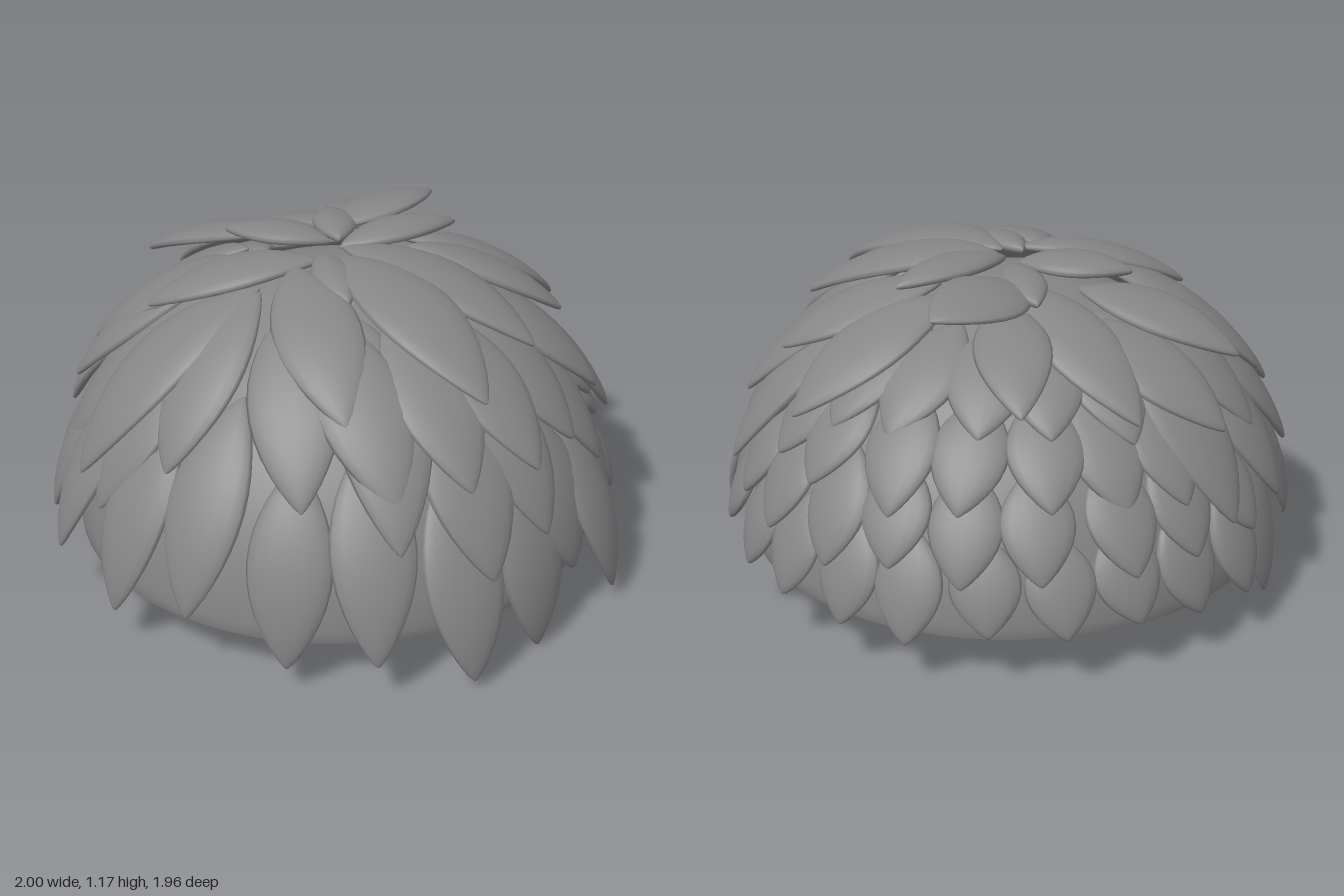
import * as THREE from 'three';

const CENTER = new THREE.Vector3(-0.035, 0.148, 0.012);
const DOME_R = 0.895;
const material = new THREE.MeshStandardMaterial({ color: 0x858585 });

let seed;
const jitter = (a) => {
  seed = (seed * 16807) % 2147483647;
  return (seed / 2147483647 - 0.5) * 2 * a;
};

// point on a sphere round the dome centre; azimuth in degrees from +z towards +x
function onSphere(az, y, r) {
  const h = Math.sqrt(Math.max(0, r * r - (y - CENTER.y) ** 2));
  const a = THREE.MathUtils.degToRad(az);
  return new THREE.Vector3(CENTER.x + h * Math.sin(a), y, CENTER.z + h * Math.cos(a));
}

// lens-shaped leaf that wraps over the dome from base to tip
function leafGeometry(base, tip, width, thick) {
  const U = 18, V = 16, pos = [], index = [];
  const b = base.clone().sub(CENTER), t = tip.clone().sub(CENTER);
  const r0 = b.length(), r1 = t.length();
  b.normalize();
  t.normalize();
  const angle = b.angleTo(t);
  const axis = new THREE.Vector3().crossVectors(b, t).normalize();
  for (let i = 0; i <= U; i++) {
    const u = (1 - Math.cos((Math.PI * i) / U)) / 2;
    const n = b.clone().applyAxisAngle(axis, angle * u);
    const r = r0 + (r1 - r0) * u;
    const profile = Math.pow(Math.max(0, Math.sin(Math.PI * u)), 0.8);
    for (let j = 0; j < V; j++) {
      const v = (j / V) * Math.PI * 2;
      const side = (width / 2 / r) * profile * Math.cos(v);
      const height = thick * Math.sqrt(profile) * Math.sin(v);
      const p = n.clone().multiplyScalar(Math.cos(side)).addScaledVector(axis, Math.sin(side));
      p.multiplyScalar(r + height).add(CENTER);
      pos.push(p.x, p.y, p.z);
      if (i < U) {
        const a = i * V + j, c = i * V + ((j + 1) % V);
        index.push(a, c, a + V, c, c + V, a + V);
      }
    }
  }
  const g = new THREE.BufferGeometry();
  g.setAttribute('position', new THREE.Float32BufferAttribute(pos, 3));
  g.setIndex(index);
  g.computeVertexNormals();
  return g;
}

function addLeaf(group, name, base, tip, width, thick = 0.03) {
  const mesh = new THREE.Mesh(leafGeometry(base, tip, width, thick), material);
  mesh.name = name;
  group.add(mesh);
}

// large leaves hanging straight down from above their tips (x, y, z)
function addHangingLeaves(model, name, tips, rise, baseR, width) {
  const group = new THREE.Group();
  group.name = name + 's';
  for (const [x, y, z] of tips) {
    const az = THREE.MathUtils.radToDeg(Math.atan2(x - CENTER.x, z - CENTER.z));
    const base = onSphere(az, Math.min(y + rise, 1.03), baseR);
    addLeaf(group, name, base, new THREE.Vector3(x, y, z), width);
  }
  model.add(group);
}

const lowTips = [
  [-0.97, 0.08, -0.2], [-0.99, 0.25, 0.08], [-0.96, 0.1, 0.34], [-0.86, 0.21, 0.54],
  [-0.71, 0.21, 0.76], [-0.41, 0.14, 0.93], [-0.12, 0.22, 0.98], [0.21, 0.09, 0.93],
  [0.5, 0.14, 0.87], [0.75, 0.03, 0.67], [0.85, 0.0, 0.36], [0.99, 0.05, 0.0],
  [0.88, 0.18, -0.25],
];

const midTips = [
  [-0.89, 0.43, -0.42], [-0.99, 0.4, -0.12], [-0.96, 0.45, 0.22], [-0.79, 0.47, 0.52],
  [-0.53, 0.42, 0.79], [0.53, 0.5, 0.77], [0.77, 0.36, 0.58], [0.86, 0.42, 0.34],
  [0.9, 0.2, 0.17], [0.88, 0.46, -0.12], [0.8, 0.48, -0.45],
];

const highTips = [
  [-0.89, 0.64, -0.12], [-0.87, 0.62, 0.33], [0.68, 0.65, 0.56], [0.82, 0.65, 0.34],
  [0.84, 0.62, 0.06], [0.81, 0.65, -0.27],
];

// crown leaves: base x, base z, tip x, tip y, tip z, width
const crown = [
  [-0.02, -0.02, 0.68, 0.91, 0.02, 0.28],
  [0.0, 0.05, 0.66, 0.88, 0.4, 0.31],
  [-0.12, 0.16, 0.3, 0.84, 0.66, 0.29],
  [-0.07, 0.06, 0.14, 1.07, 0.29, 0.14],
  [-0.05, 0.1, -0.57, 0.95, 0.34, 0.23],
  [-0.08, -0.05, -0.46, 1.1, -0.02, 0.2],
  [-0.06, -0.08, -0.22, 1.08, -0.35, 0.15],
  [-0.1, -0.2, -0.6, 0.8, -0.56, 0.27],
  [-0.1, -0.3, -0.28, 0.89, -0.8, 0.25],
  [-0.15, -0.2, 0.06, 1.1, -0.61, 0.28],
  [-0.03, -0.02, 0.24, 1.11, -0.38, 0.18],
  [0.08, -0.28, 0.5, 0.76, -0.68, 0.29],
  [0.14, -0.2, 0.64, 0.86, -0.37, 0.27],
  [-0.18, 0.28, -0.63, 0.5, 0.73, 0.31],
  [-0.17, 0.3, -0.27, 0.62, 0.8, 0.28],
  [-0.04, 0.32, 0.22, 0.61, 0.83, 0.31],
  [-0.3, -0.12, -0.84, 0.9, -0.16, 0.26],
  [-0.33, -0.28, -0.84, 0.73, -0.38, 0.28],
  [-0.28, 0.14, -0.86, 0.71, 0.2, 0.3],
  [0.08, 0.35, 0.5, 0.62, 0.72, 0.3],
];

export function createModel() {
  seed = 7;
  const model = new THREE.Group();
  model.name = 'leafyDome';

  // dome with a softened bottom rim
  const profile = [new THREE.Vector2(DOME_R - 0.012, 0), new THREE.Vector2(DOME_R - 0.003, 0.006)];
  for (let i = 1; i <= 32; i++) {
    const a = (i / 32) * (Math.PI / 2);
    profile.push(new THREE.Vector2(Math.max(0, DOME_R * Math.cos(a)), DOME_R * Math.sin(a)));
  }
  const dome = new THREE.Mesh(new THREE.LatheGeometry(profile, 64), material);
  dome.name = 'dome';
  dome.position.copy(CENTER);
  const base = new THREE.Mesh(new THREE.CircleGeometry(DOME_R - 0.012, 64), material);
  base.name = 'domeBase';
  base.rotation.x = Math.PI / 2;
  base.position.copy(CENTER);
  model.add(dome, base);

  // overlapping large leaves over the front and sides
  addHangingLeaves(model, 'lowerLeaf', lowTips, 0.62, 0.905, 0.28);
  addHangingLeaves(model, 'middleLeaf', midTips, 0.52, 0.93, 0.31);
  addHangingLeaves(model, 'upperLeaf', highTips, 0.4, 0.95, 0.3);

  // small scales over the back: tip y, base y, azimuth step, tip radius, width
  const backRows = [
    [0.18, 0.5, 14.5, 0.975, 0.23],
    [0.37, 0.68, 15.5, 0.98, 0.24],
    [0.56, 0.85, 17, 0.975, 0.25],
    [0.74, 0.99, 20, 0.97, 0.27],
  ];
  backRows.forEach(([tipY, baseY, step, r, width], k) => {
    const row = new THREE.Group();
    row.name = 'backLeafRow' + (k + 1);
    for (let az = 116 + (k % 2) * step / 2; az <= 248; az += step) {
      const tip = onSphere(az + jitter(2.5), tipY + jitter(0.03), r + jitter(0.012));
      addLeaf(row, 'backLeaf', onSphere(az + jitter(2.5), baseY, 0.91), tip, width);
    }
    model.add(row);
  });

  // crown leaves radiating from the top
  const top = new THREE.Group();
  top.name = 'crownLeaves';
  for (const [bx, bz, tx, ty, tz, width] of crown) {
    const y = CENTER.y + Math.sqrt(0.965 ** 2 - (bx - CENTER.x) ** 2 - (bz - CENTER.z) ** 2);
    addLeaf(top, 'crownLeaf', new THREE.Vector3(bx, y, bz), new THREE.Vector3(tx, ty, tz), width);
  }
  model.add(top);

  return model;
}
